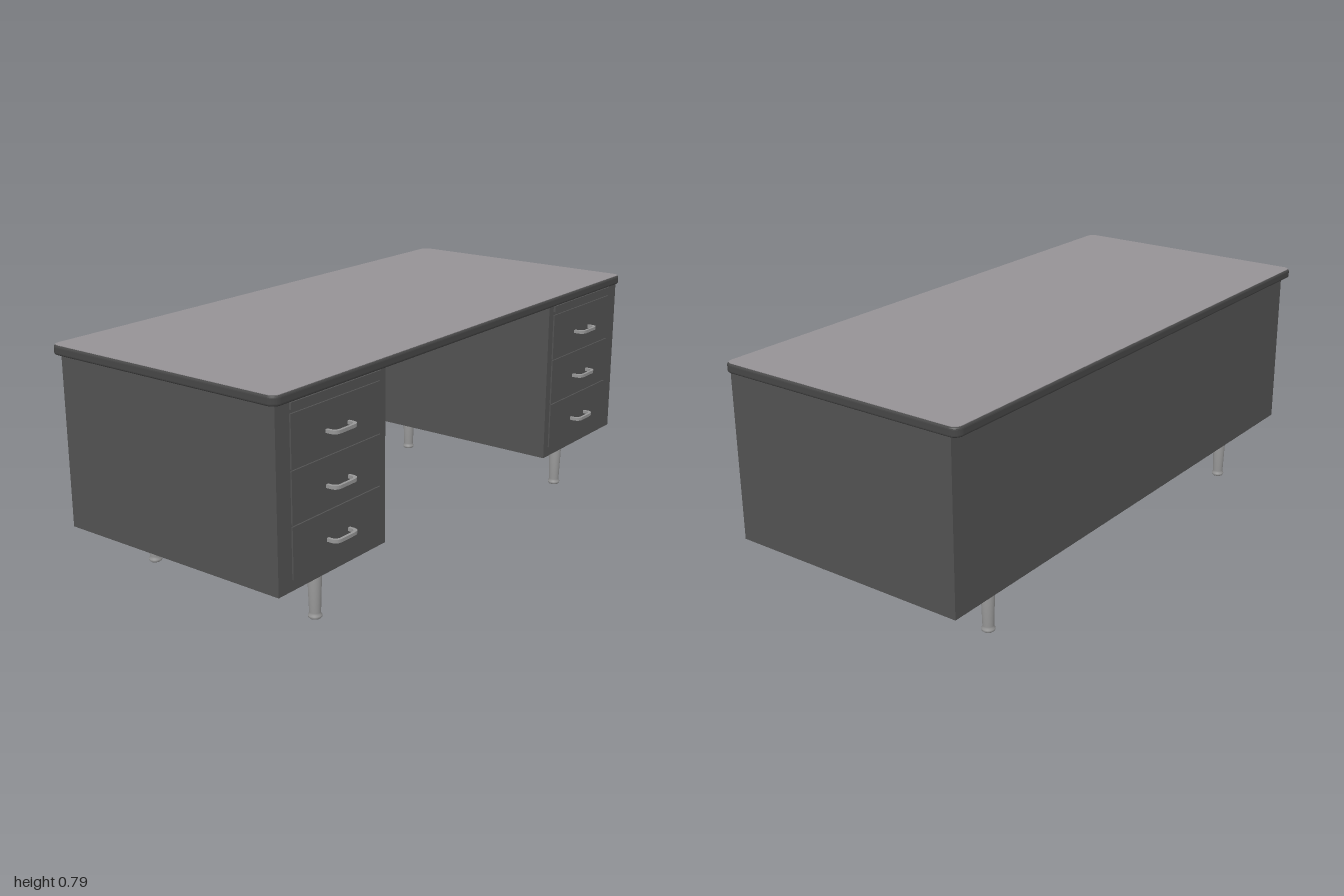
import * as THREE from 'three';

const mat = (name, color) => {
  const m = new THREE.MeshStandardMaterial({ color });
  m.name = name;
  return m;
};

// Rounded rectangle outline in the plan, centred on the origin
function roundedRect(w, d, r) {
  const s = new THREE.Shape();
  const x = w / 2, y = d / 2;
  s.moveTo(-x + r, -y);
  s.lineTo(x - r, -y);
  s.absarc(x - r, -y + r, r, -Math.PI / 2, 0);
  s.absarc(x - r, y - r, r, 0, Math.PI / 2);
  s.absarc(-x + r, y - r, r, Math.PI / 2, Math.PI);
  s.absarc(-x + r, -y + r, r, Math.PI, Math.PI * 1.5);
  return s;
}

// Half-round bow used for the drawer pulls; open side lies at y = 0
function bow(path, halfWidth, depth, r) {
  path.moveTo(-halfWidth, 0);
  path.lineTo(halfWidth, 0);
  path.lineTo(halfWidth, depth - r);
  path.quadraticCurveTo(halfWidth, depth, halfWidth - r, depth);
  path.lineTo(-halfWidth + r, depth);
  path.quadraticCurveTo(-halfWidth, depth, -halfWidth, depth - r);
  return path;
}

export function createModel() {
  const desk = new THREE.Group();
  desk.name = 'desk';
  const steel = mat('dark grey steel', 0x525252);
  const rimGrey = mat('desktop rim grey', 0x464646);
  const topGrey = mat('desktop grey', 0x959295);
  const metal = mat('brushed metal', 0x969696);

  const add = (parent, name, geometry, material, x = 0, y = 0, z = 0) => {
    const mesh = new THREE.Mesh(geometry, material);
    mesh.name = name;
    mesh.position.set(x, y, z);
    parent.add(mesh);
    return mesh;
  };
  // Box given by its limits on each axis
  const box = (parent, name, material, x0, x1, y0, y1, z0, z1) =>
    add(parent, name, new THREE.BoxGeometry(x1 - x0, y1 - y0, z1 - z0), material,
      (x0 + x1) / 2, (y0 + y1) / 2, (z0 + z1) / 2);

  // Desktop: bevelled rim slab with a thin writing surface on it
  const rim = new THREE.ExtrudeGeometry(roundedRect(1.984, 0.898, 0.022), {
    depth: 0.016, bevelSize: 0.008, bevelThickness: 0.008, bevelSegments: 4, curveSegments: 6,
  });
  rim.rotateX(-Math.PI / 2);
  add(desk, 'desktopRim', rim, rimGrey, 0, 0.762, -0.015);
  const surface = new THREE.ExtrudeGeometry(roundedRect(1.99, 0.904, 0.025), {
    depth: 0.004, bevelEnabled: false, curveSegments: 6,
  });
  surface.rotateX(-Math.PI / 2);
  add(desk, 'writingSurface', surface, topGrey, 0, 0.783, -0.015);

  // Back panel closing the knee space
  box(desk, 'backPanel', steel, -0.485, 0.485, 0.187, 0.756, -0.438, -0.418);

  // Shared pull, foot plate and leg shapes
  const pullShape = bow(new THREE.Shape(), 0.055, 0.04, 0.025);
  pullShape.holes.push(bow(new THREE.Path(), 0.045, 0.031, 0.02));
  const pull = new THREE.ExtrudeGeometry(pullShape, { depth: 0.011, bevelEnabled: false, curveSegments: 8 });
  pull.rotateX(Math.PI / 2);
  const legProfile = [
    [0, 0], [0.018, 0], [0.022, 0.004], [0.022, 0.01], [0.018, 0.014],
    [0.0185, 0.02], [0.024, 0.183], [0, 0.183],
  ].map(([r, y]) => new THREE.Vector2(r, y));
  const leg = new THREE.LatheGeometry(legProfile, 24);

  for (const side of [-1, 1]) {
    const pedestal = new THREE.Group();
    pedestal.name = side < 0 ? 'rightPedestal' : 'leftPedestal';
    desk.add(pedestal);
    const cx = side * 0.72;

    box(pedestal, 'cabinet', steel, side * 0.735 - 0.25, side * 0.735 + 0.25, 0.187, 0.756, -0.438, 0.428);
    box(pedestal, 'pullOutTray', steel, cx - 0.205, cx + 0.205, 0.73, 0.751, 0.42, 0.435);

    // Drawer fronts with pulls
    for (const y of [0.222, 0.389, 0.556]) {
      box(pedestal, 'drawerFront', steel, cx - 0.205, cx + 0.205, y, y + 0.162, 0.42, 0.433);
      add(pedestal, 'drawerPull', pull, metal, cx, y + 0.079, 0.431);
    }

    // Legs with square mounting plates
    for (const z of [0.343, -0.35]) {
      box(pedestal, 'mountingPlate', metal, side * 0.725 - 0.048, side * 0.725 + 0.048, 0.181, 0.188, z - 0.048, z + 0.048);
      add(pedestal, 'leg', leg, metal, side * 0.725, 0, z);
    }
  }
  return desk;
}
